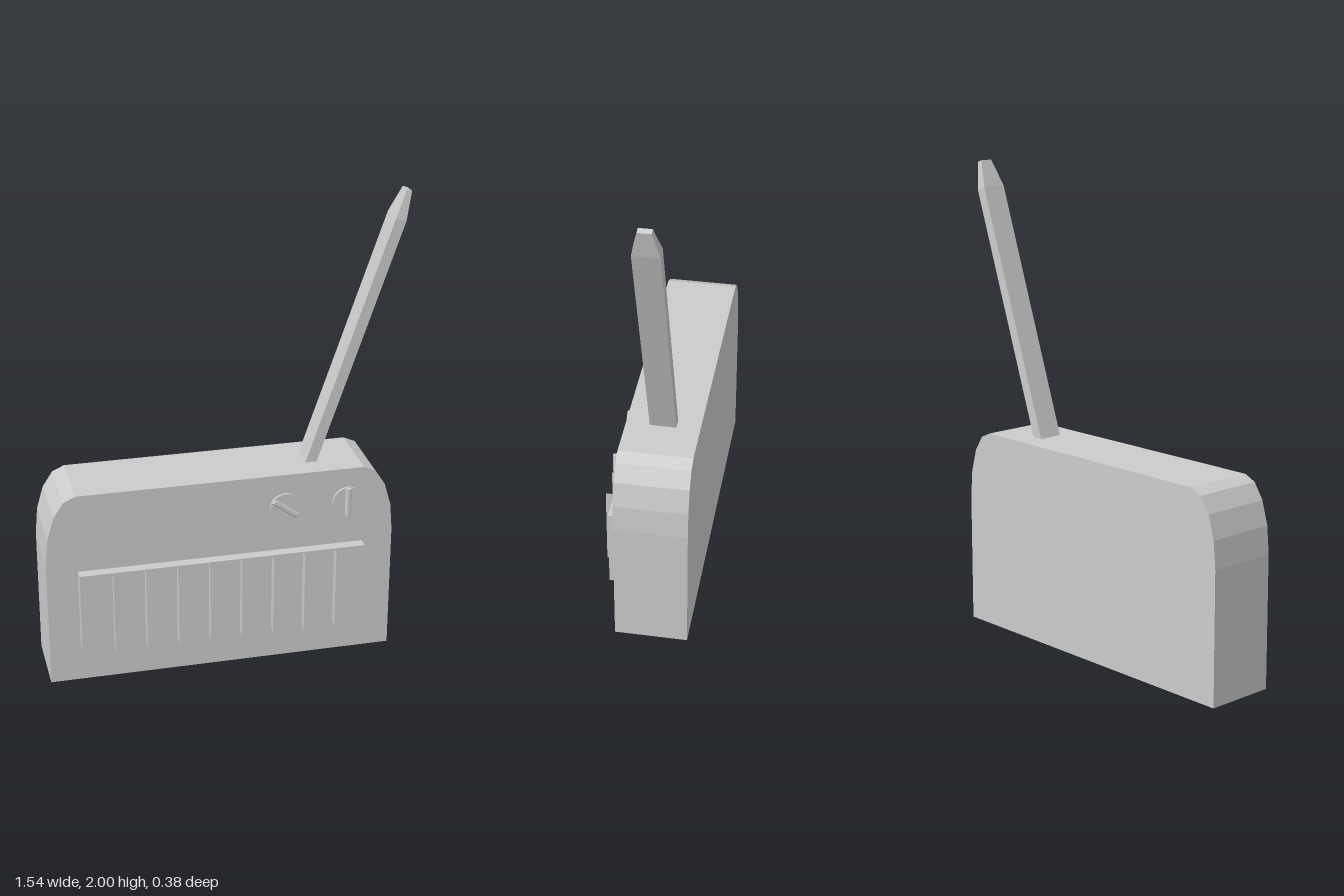
import * as THREE from 'three';

const material = new THREE.MeshStandardMaterial({ color: 0xcccccc, flatShading: true, side: THREE.DoubleSide });

function addPart(parent, name, geometry, x = 0, y = 0, z = 0) {
  const mesh = new THREE.Mesh(geometry, material);
  mesh.name = name;
  mesh.position.set(x, y, z);
  parent.add(mesh);
  return mesh;
}

// Case: flat bottom, tall elliptical shoulders in four facets
function caseGeometry() {
  const left = -0.77, right = 0.7, rx = 0.13, ry = 0.3, shoulder = 0.555;
  const shape = new THREE.Shape();
  shape.moveTo(left, 0);
  shape.lineTo(right, 0);
  shape.lineTo(right, shoulder);
  shape.absellipse(right - rx, shoulder, rx, ry, 0, Math.PI / 2, false, 0);
  shape.absellipse(left + rx, shoulder, rx, ry, Math.PI / 2, Math.PI, false, 0);
  shape.closePath();
  return new THREE.ExtrudeGeometry(shape, { depth: 0.3, bevelEnabled: false, curveSegments: 2 });
}

// Antenna: flat bar along +y from the origin, narrowing at the tip
function antennaGeometry(length, tipLength, width, depth) {
  const geometry = new THREE.BoxGeometry(width, 2, depth, 1, 2, 1);
  const p = geometry.attributes.position;
  const heights = [0, length - tipLength, length];
  for (let i = 0; i < p.count; i++) {
    const row = Math.round(p.getY(i)) + 1;
    const taper = row === 2 ? 0.5 : 1;
    p.setXYZ(i, p.getX(i) * taper, heights[row], p.getZ(i) * taper);
  }
  geometry.computeVertexNormals();
  return geometry;
}

// Knob: thin disc with a tapered grip ridge across its face
function addKnob(parent, name, x, angle) {
  const knob = new THREE.Group();
  knob.name = name;
  knob.position.set(x, 0.71, 0.116);
  knob.rotation.z = angle;
  const disc = new THREE.CylinderGeometry(0.065, 0.065, 0.01, 32).rotateX(Math.PI / 2);
  addPart(knob, 'knobDisc', disc, 0, 0, 0.005);
  const profile = new THREE.Shape([
    new THREE.Vector2(-0.013, 0), new THREE.Vector2(0.013, 0),
    new THREE.Vector2(0.006, 0.016), new THREE.Vector2(-0.006, 0.016),
  ]);
  const ridge = new THREE.ExtrudeGeometry(profile, { depth: 0.126, bevelEnabled: false });
  ridge.translate(0, 0, -0.063).rotateX(Math.PI / 2);
  addPart(knob, 'knobRidge', ridge, 0, 0, 0.01);
  parent.add(knob);
}

export function createModel() {
  const model = new THREE.Group();
  model.name = 'radio';
  addPart(model, 'case', caseGeometry(), 0, 0, -0.19);

  // Speaker panel with thin upright fins
  const x0 = -0.64, width = 1.21, height = 0.35, midY = 0.337;
  addPart(model, 'speakerPanel', new THREE.BoxGeometry(width, height, 0.045), x0 + width / 2, midY, 0.1325);
  for (let i = 1; i < 9; i++) {
    const fin = new THREE.PlaneGeometry(0.035, height).rotateY(Math.PI / 2);
    addPart(model, 'speakerFin', fin, x0 + (width * i) / 9, midY, 0.1725);
  }

  addKnob(model, 'tuningKnob', 0.23, 0.94);
  addKnob(model, 'volumeKnob', 0.5, 0);

  // Antenna leaning to the left side, its foot sunk into the case
  const antenna = addPart(model, 'antenna', antennaGeometry(1.255, 0.118, 0.046, 0.106), 0.351, 0.806, -0.04);
  antenna.rotation.z = -0.329;

  return model;
}
